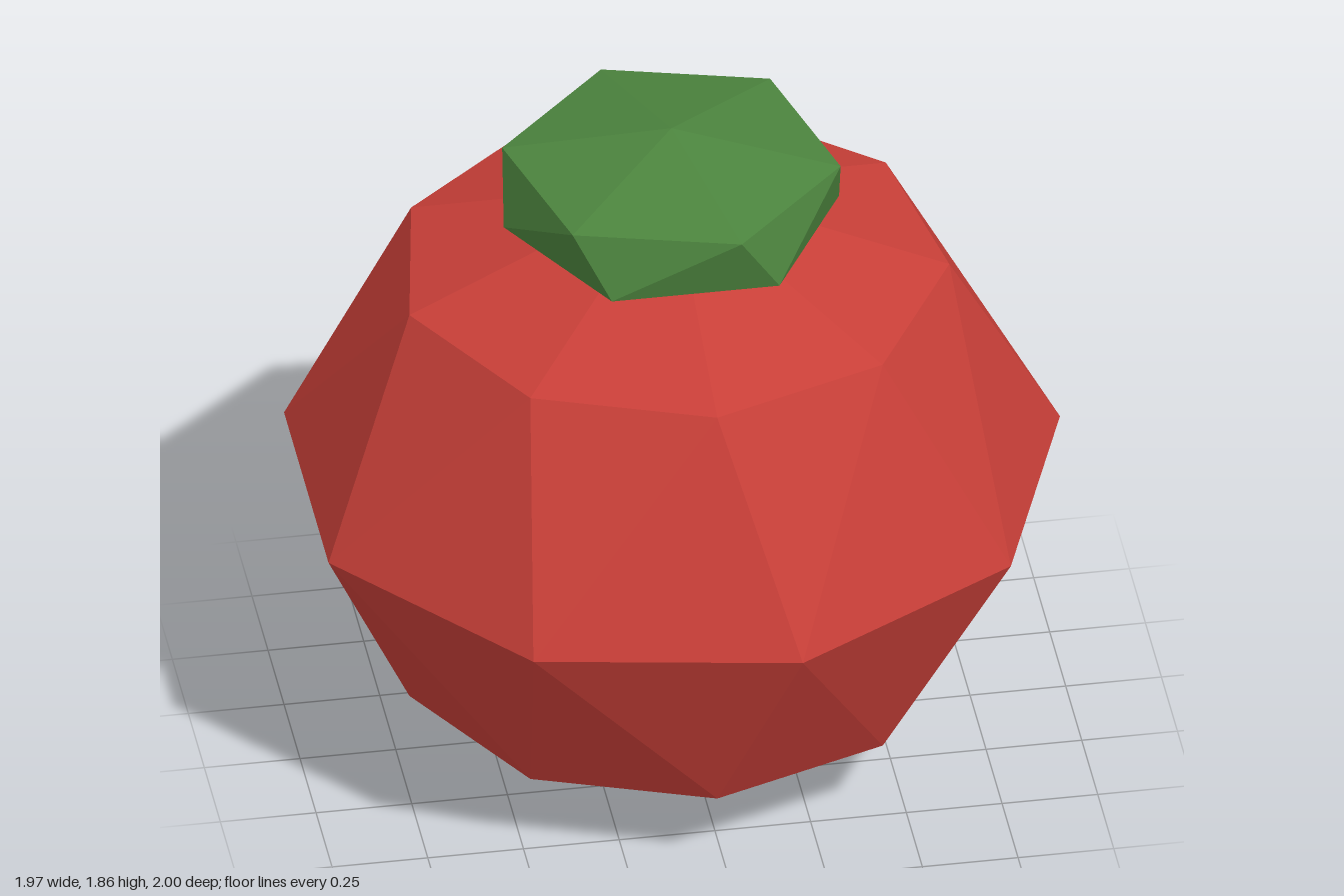
import * as THREE from 'three';

// Faceted solid: bottom tip, twisted rings of n points [y, radius, degrees], top tip
function facetedSolid(n, bottomY, rings, topY) {
  const points = rings.map(([y, r, deg]) => (k) => {
    const a = THREE.MathUtils.degToRad(deg) + (k * 2 * Math.PI) / n;
    return [r * Math.cos(a), y, r * Math.sin(a)];
  });
  const first = points[0], last = points[points.length - 1];
  const pos = [];
  const tri = (...corners) => corners.forEach((c) => pos.push(...c));
  for (let k = 0; k < n; k++) {
    tri([0, bottomY, 0], first(k), first(k + 1));
    for (let i = 0; i + 1 < points.length; i++) {
      const low = points[i], up = points[i + 1];
      tri(low(k + 1), low(k), up(k));
      tri(low(k), up(k - 1), up(k));
    }
    tri([0, topY, 0], last(k + 1), last(k));
  }
  const geo = new THREE.BufferGeometry();
  geo.setAttribute('position', new THREE.Float32BufferAttribute(pos, 3));
  geo.computeVertexNormals(); // unshared corners give flat facets
  return geo;
}

export function createModel() {
  const group = new THREE.Group();
  group.name = 'fruit';
  const red = new THREE.MeshStandardMaterial({ color: 0xc83f38 });
  red.name = 'red skin';
  const green = new THREE.MeshStandardMaterial({ color: 0x4c843e });
  green.name = 'green leaf';

  const add = (name, geometry, material) => {
    const mesh = new THREE.Mesh(geometry, material);
    mesh.name = name;
    mesh.position.x = -0.03;
    group.add(mesh);
  };

  // Nine-sided round body
  add('body', facetedSolid(9, 0, [[0.25, 0.716, 10], [0.845, 1.015, 40], [1.44, 0.716, 50]], 1.69), red);
  // Six-sided leafy cap, its lower tip sunk into the body
  add('cap', facetedSolid(6, 1.51, [[1.6, 0.438, 0], [1.77, 0.438, 15]], 1.86), green);

  return group;
}
